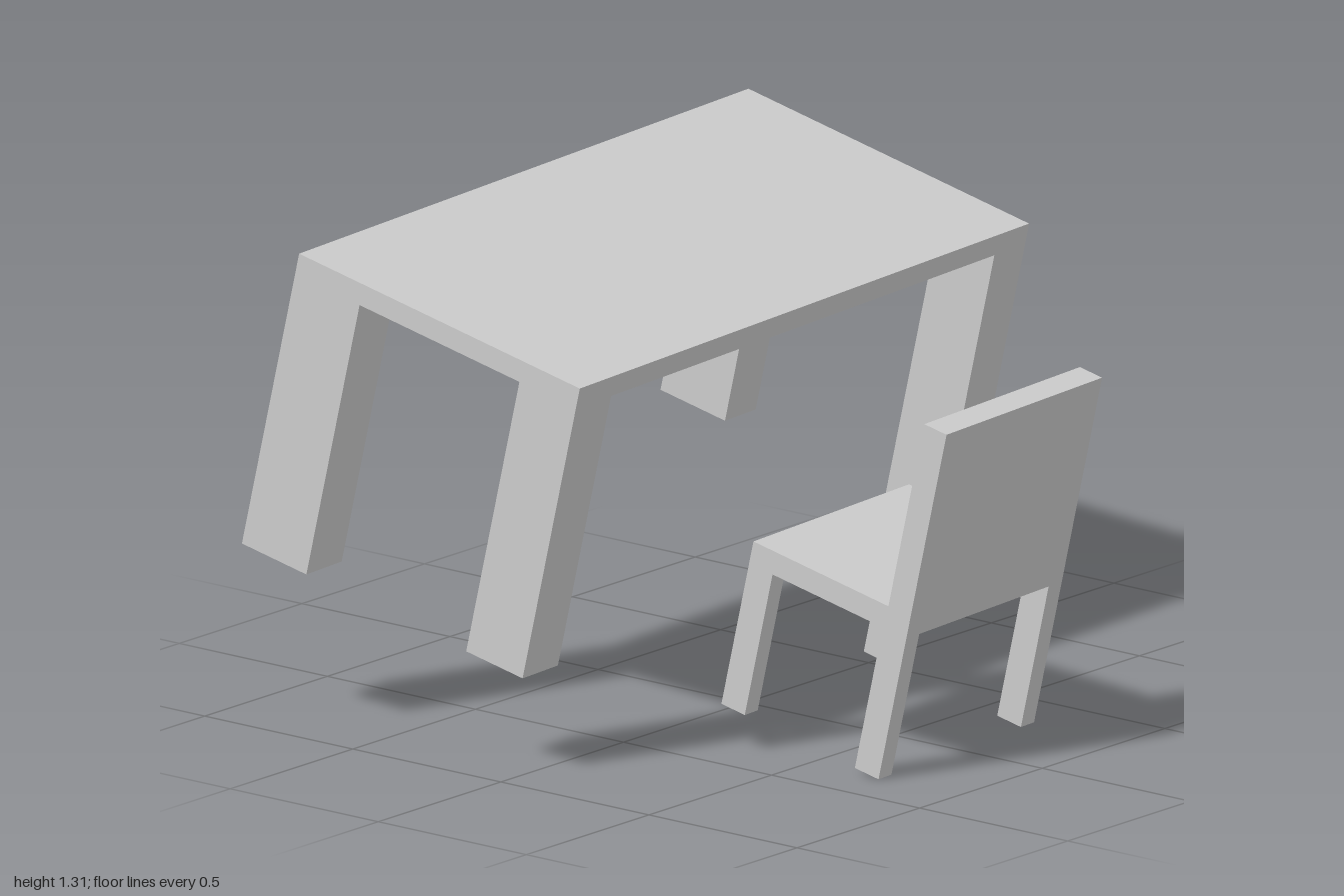
import * as THREE from 'three';

const material = new THREE.MeshStandardMaterial({ color: 0xcccccc, flatShading: true });

// Box from its lower and upper limits on each axis
function slab(name, [x0, x1], [y0, y1], [z0, z1]) {
  const mesh = new THREE.Mesh(new THREE.BoxGeometry(x1 - x0, y1 - y0, z1 - z0), material);
  mesh.position.set((x0 + x1) / 2, (y0 + y1) / 2, (z0 + z1) / 2);
  mesh.name = name;
  return mesh;
}

// Four legs flush with the corners of a rectangle
function addLegs(group, prefix, xs, y, zs) {
  for (const [side, x] of Object.entries(xs)) {
    for (const [end, z] of Object.entries(zs)) group.add(slab(`${prefix}Leg${end}${side}`, x, y, z));
  }
}

function makeTable() {
  const table = new THREE.Group();
  table.name = 'table';
  table.add(slab('tableTop', [-1.015, -0.079], [1.052, 1.111], [-1.0, 0.947]));
  addLegs(table, 'table',
    { Right: [-1.015, -0.8], Left: [-0.267, -0.079] },
    [0.274, 1.052],
    { Front: [0.794, 0.947], Back: [-1.0, -0.867] });
  return table;
}

function makeChair() {
  const chair = new THREE.Group();
  chair.name = 'chair';
  chair.add(slab('seat', [0.178, 0.702], [0.577, 0.64], [-0.285, 0.389]));
  chair.add(slab('backrest', [0.628, 0.702], [0.64, 1.166], [-0.285, 0.389]));
  addLegs(chair, 'chair',
    { Right: [0.178, 0.256], Left: [0.623, 0.702] },
    [0.171, 0.577],
    { Front: [0.333, 0.389], Back: [-0.285, -0.228] });
  return chair;
}

export function createModel() {
  const model = new THREE.Group();
  model.name = 'tableAndChair';
  model.add(makeTable(), makeChair());

  // The whole set leans sideways and is turned slightly
  const xAxis = new THREE.Vector3(0.973, -0.2265, -0.048).normalize();
  const yAxis = new THREE.Vector3(0.0488, -0.006, 0.9988).cross(xAxis).normalize();
  const zAxis = new THREE.Vector3().crossVectors(xAxis, yAxis);
  model.quaternion.setFromRotationMatrix(new THREE.Matrix4().makeBasis(xAxis, yAxis, zAxis));
  return model;
}
